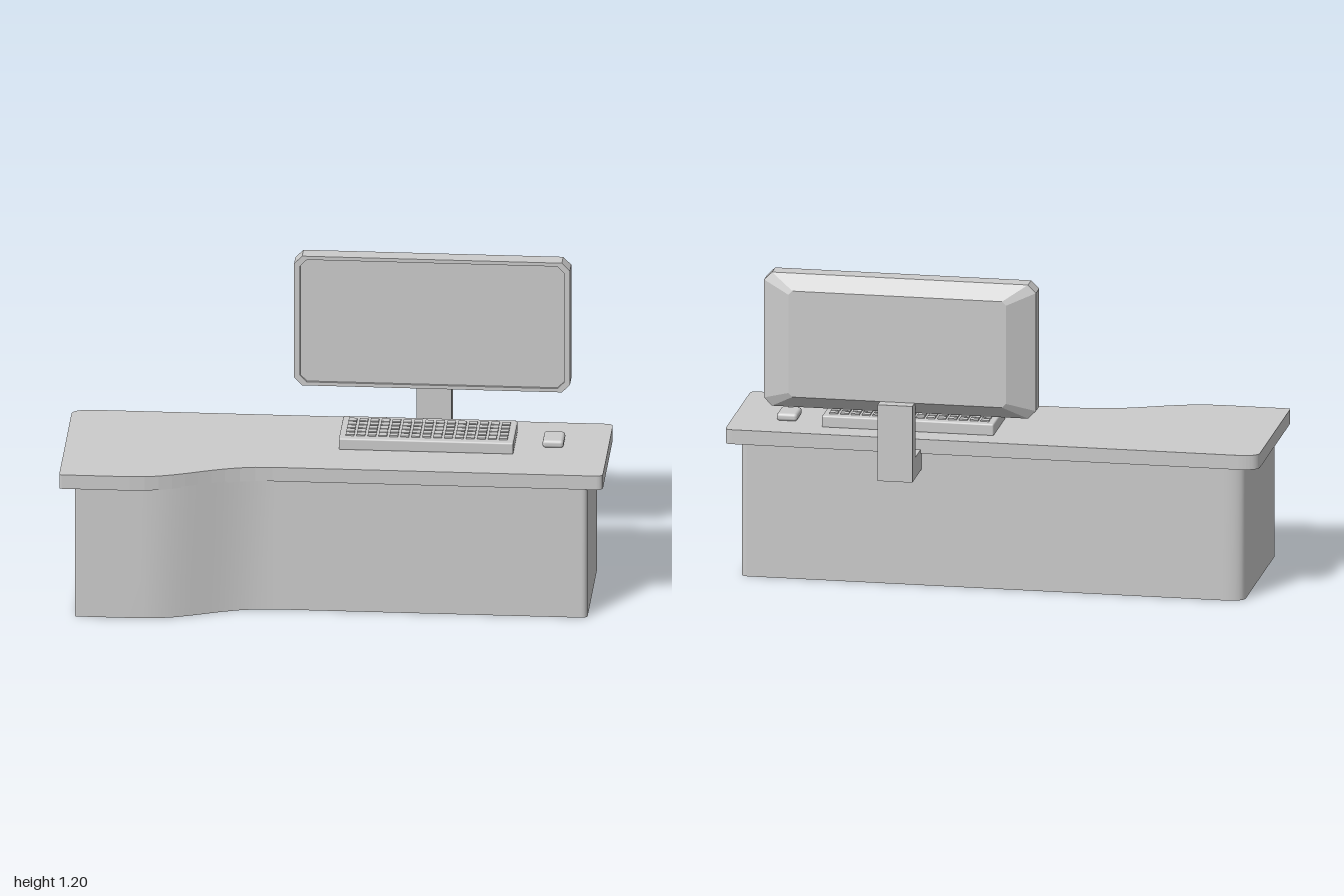
import * as THREE from 'three';
import { mergeGeometries } from 'three/addons/utils/BufferGeometryUtils.js';
import { RoundedBoxGeometry } from 'three/addons/geometries/RoundedBoxGeometry.js';

const grey = new THREE.MeshStandardMaterial({ color: 0xcccccc });
const greyFlat = new THREE.MeshStandardMaterial({ color: 0xcccccc, flatShading: true });
const greyOpen = new THREE.MeshStandardMaterial({ color: 0xcccccc, side: THREE.DoubleSide });

function add(parent, name, geometry, x = 0, y = 0, z = 0, material = grey) {
  const mesh = new THREE.Mesh(geometry, material);
  mesh.name = name;
  mesh.position.set(x, y, z);
  parent.add(mesh);
  return mesh;
}

// Desk outline in plan; shape y is -z. The left end is deeper, joined by an S-curve.
function deskOutline() {
  const s = new THREE.Shape();
  s.moveTo(-0.99, -0.413);
  s.lineTo(-0.74, -0.413);
  s.bezierCurveTo(-0.55, -0.413, -0.44, -0.28, -0.22, -0.28);
  s.lineTo(0.975, -0.28);
  s.quadraticCurveTo(1, -0.28, 1, -0.255);
  s.lineTo(1, 0.222);
  s.quadraticCurveTo(1, 0.248, 0.975, 0.248);
  s.lineTo(-0.91, 0.248);
  s.quadraticCurveTo(-1, 0.248, -1, 0.205);
  s.lineTo(-1, -0.403);
  s.quadraticCurveTo(-1, -0.413, -0.99, -0.413);
  return s;
}

// Smooth vertical wall following the desk outline, open below
function wallGeometry(outline, height) {
  const pts = outline.getPoints(8).map((p) => new THREE.Vector2(p.x * 0.943, p.y * 0.945 - 0.009));
  if (pts[0].distanceTo(pts[pts.length - 1]) < 1e-5) pts.pop();
  const pos = [], index = [], n = pts.length;
  pts.forEach((p, i) => {
    pos.push(p.x, 0, -p.y, p.x, height, -p.y);
    const a = 2 * i, b = 2 * ((i + 1) % n);
    index.push(a, b, b + 1, a, b + 1, a + 1);
  });
  const g = new THREE.BufferGeometry();
  g.setAttribute('position', new THREE.Float32BufferAttribute(pos, 3));
  g.setIndex(index);
  g.computeVertexNormals();
  return g;
}

// Rectangle with cut corners, counter-clockwise seen from the front
function cutRectangle(hx, hy, c, z) {
  return [
    [hx, -hy + c], [hx, hy - c], [hx - c, hy], [-hx + c, hy],
    [-hx, hy - c], [-hx, -hy + c], [-hx + c, -hy], [hx - c, -hy],
  ].map(([x, y]) => [x, y, z]);
}

// Joins sections listed from the front inwards and round to the back, with end caps
function loft(rings) {
  const n = rings[0].length, index = [], last = (rings.length - 1) * n;
  for (let r = 0; r < rings.length - 1; r++) {
    for (let j = 0; j < n; j++) {
      const k = (j + 1) % n;
      const a = r * n + j, b = a + n, c = (r + 1) * n + k, d = r * n + k;
      index.push(a, b, c, a, c, d);
    }
  }
  for (let j = 1; j < n - 1; j++) {
    index.push(0, j, j + 1, last, last + j + 1, last + j);
  }
  const g = new THREE.BufferGeometry();
  g.setAttribute('position', new THREE.Float32BufferAttribute(rings.flat(2), 3));
  g.setIndex(index);
  const flat = g.toNonIndexed();
  flat.computeVertexNormals();
  return flat;
}

export function createModel() {
  const model = new THREE.Group();
  model.name = 'computerDesk';

  // Desk: wavy base and overhanging top
  const outline = deskOutline();
  add(model, 'deskBase', wallGeometry(outline, 0.515), 0, 0, 0, greyOpen);
  const top = new THREE.ExtrudeGeometry(outline, { depth: 0.055, bevelEnabled: false, curveSegments: 10 });
  top.rotateX(-Math.PI / 2);
  add(model, 'deskTop', top, 0, 0.51, 0);

  // Monitor: recessed screen, frame, sides and tapered back
  const monitor = new THREE.Group();
  monitor.name = 'monitor';
  model.add(monitor);
  add(monitor, 'monitorHousing', loft([
    cutRectangle(0.488, 0.242, 0.025, -0.01),
    cutRectangle(0.488, 0.242, 0.025, 0),
    cutRectangle(0.51, 0.256, 0.03, 0),
    cutRectangle(0.51, 0.256, 0.03, -0.064),
    cutRectangle(0.408, 0.203, 0.015, -0.12),
  ]), 0.33, 0.94, -0.25, greyFlat);

  // L-shaped arm clamped behind the desk
  const arm = new THREE.Shape([
    [0.2, 0.445], [0.415, 0.445], [0.415, 0.737], [0.347, 0.737], [0.347, 0.525], [0.2, 0.525],
  ].map(([x, y]) => new THREE.Vector2(x, y)));
  const armGeometry = new THREE.ExtrudeGeometry(arm, { depth: 0.13, bevelEnabled: false });
  armGeometry.rotateY(Math.PI / 2);
  add(monitor, 'monitorArm', armGeometry, 0.265, 0, 0);

  // Keyboard: body with five rows of keys
  const keyboard = new THREE.Group();
  keyboard.name = 'keyboard';
  keyboard.position.set(0.332, 0.565, -0.034);
  model.add(keyboard);
  add(keyboard, 'keyboardBody', new RoundedBoxGeometry(0.645, 0.046, 0.232, 2, 0.006), 0, 0.02, 0);
  const keys = [], rows = 5, columns = 15, pitchX = 0.0405, pitchZ = 0.0355;
  for (let r = 0; r < rows; r++) {
    for (let c = 0; c < columns; c++) {
      const key = new THREE.BoxGeometry(0.031, 0.012, 0.027);
      key.translate((c - (columns - 1) / 2) * pitchX, 0.042, (r - (rows - 1) / 2) * pitchZ);
      keys.push(key);
    }
  }
  add(keyboard, 'keys', mergeGeometries(keys));

  // Mouse
  add(model, 'mouse', new RoundedBoxGeometry(0.078, 0.03, 0.106, 3, 0.012), 0.796, 0.578, -0.043);

  return model;
}
